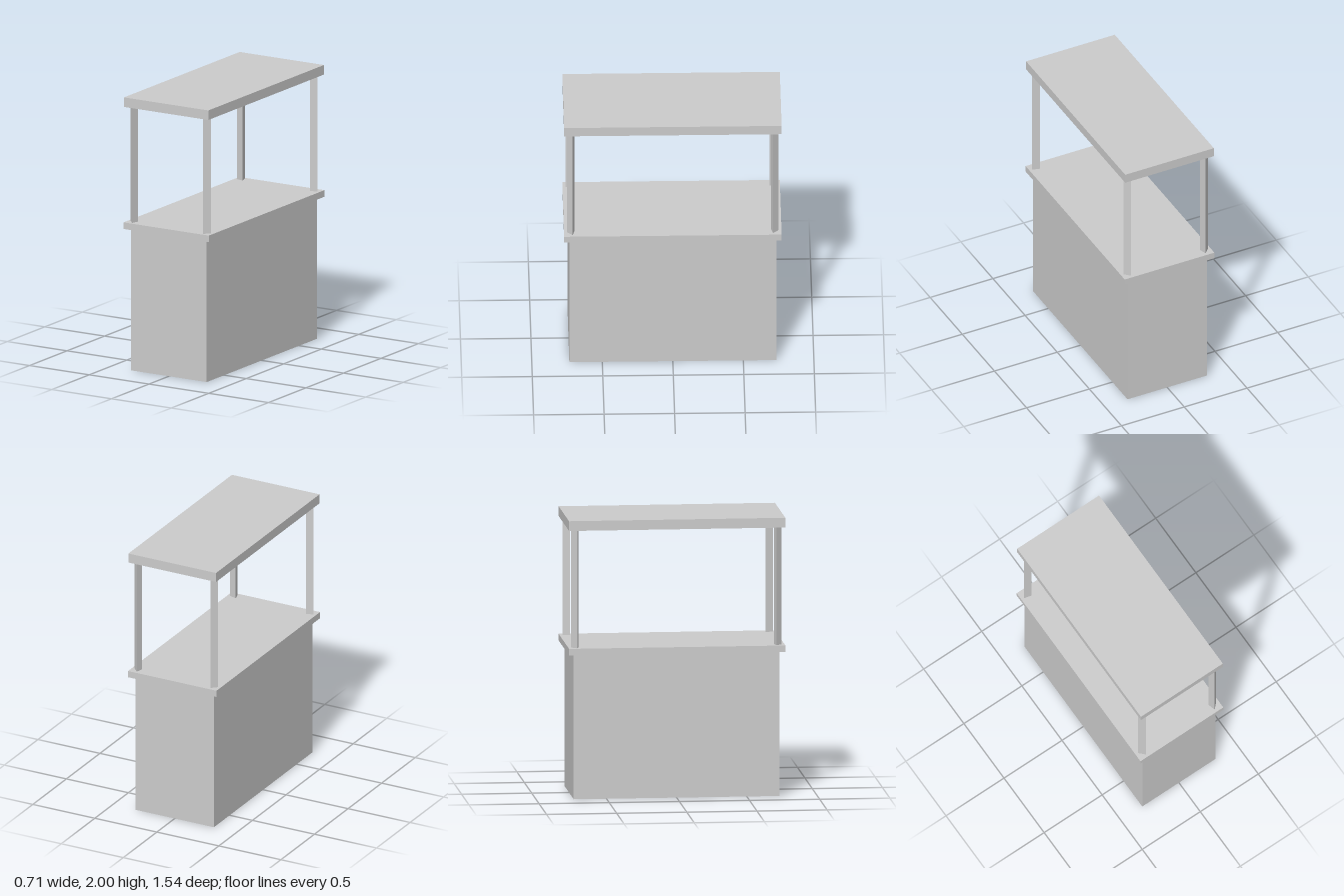
import * as THREE from 'three';

export function createModel() {
  const model = new THREE.Group();
  const material = new THREE.MeshStandardMaterial({ color: 0xcccccc, flatShading: true });

  function add(name, geometry, x, y, z) {
    const mesh = new THREE.Mesh(geometry, material);
    mesh.name = name;
    mesh.position.set(x, y, z);
    model.add(mesh);
    return mesh;
  }

  // Box given by its width, depth and bottom and top heights
  function slab(name, width, depth, bottom, top) {
    add(name, new THREE.BoxGeometry(width, top - bottom, depth), 0, (bottom + top) / 2, 0);
  }

  slab('standBody', 0.632, 1.468, 0, 1.037);
  slab('counterTop', 0.714, 1.542, 1.037, 1.085);

  // Roof: a thin panel over a rim, hollow underneath
  const roofW = 0.706, roofD = 1.542, rim = 0.02;
  const rimBottom = 1.93, panelBottom = 1.975;
  slab('roofPanel', roofW, roofD, panelBottom, 2);

  const outline = (w, d, shape) => shape
    .moveTo(-w / 2, -d / 2).lineTo(w / 2, -d / 2)
    .lineTo(w / 2, d / 2).lineTo(-w / 2, d / 2).closePath();
  const rimShape = new THREE.Shape();
  outline(roofW, roofD, rimShape);
  const opening = new THREE.Path();
  outline(roofW - 2 * rim, roofD - 2 * rim, opening);
  rimShape.holes.push(opening);
  const rimGeometry = new THREE.ExtrudeGeometry(rimShape, {
    depth: panelBottom - rimBottom, bevelEnabled: false,
  });
  rimGeometry.rotateX(-Math.PI / 2);
  add('roofRim', rimGeometry, 0, rimBottom, 0);

  // Three-sided corner posts, each with a flat face turned outward
  const postBottom = 1.085, postHeight = panelBottom - postBottom;
  const postGeometry = new THREE.CylinderGeometry(0.032, 0.032, postHeight, 3);
  for (const sx of [-1, 1]) {
    for (const sz of [-1, 1]) {
      const post = add(
        (sz > 0 ? 'front' : 'back') + (sx > 0 ? 'Left' : 'Right') + 'Post',
        postGeometry, sx * 0.305, postBottom + postHeight / 2, sz * 0.719,
      );
      // One edge points at the centre of the stand
      post.rotation.y = Math.atan2(-sx, -sz);
    }
  }

  return model;
}
